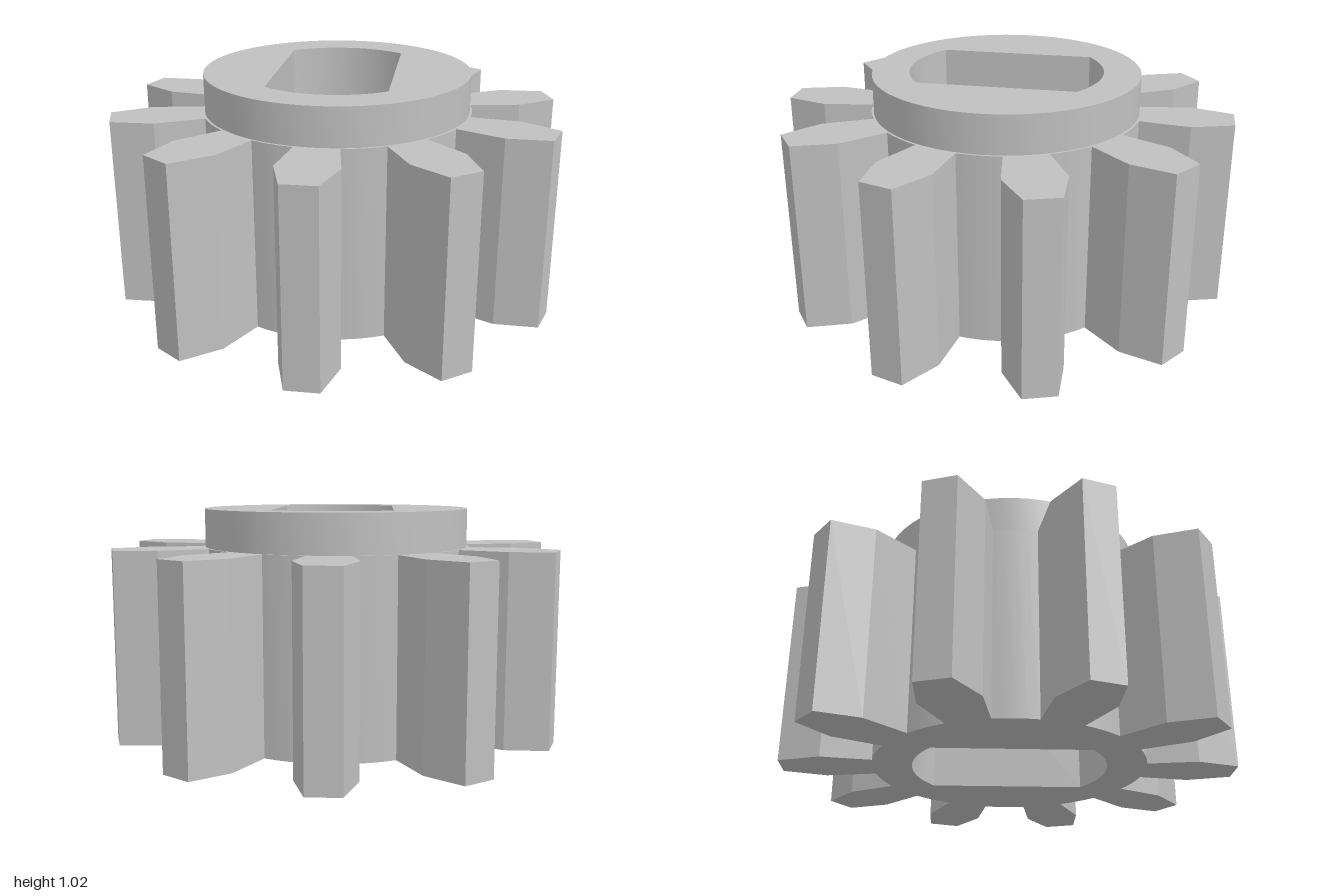
import * as THREE from 'three';
import { toCreasedNormals } from 'three/addons/utils/BufferGeometryUtils.js';

const TEETH = 10, BODY_HEIGHT = 0.85, TOTAL_HEIGHT = 1.02;
const HUB_RADIUS = 0.592, ROOT_RADIUS = 0.602;

// Half of one tooth: distance from the axis, half width
const TOOTH = [[0.595, 0.094], [0.815, 0.128], [1, 0.073]];

// Round shaft hole with two flat sides
function shaftHole() {
  const r = 0.428, a = Math.acos(0.258 / r);
  const hole = new THREE.Path();
  hole.absarc(0, 0, r, a, Math.PI - a, false);
  hole.absarc(0, 0, r, Math.PI + a, 2 * Math.PI - a, false);
  hole.closePath();
  return hole;
}

// Teeth joined by short arcs along the root circle
function gearShape() {
  const profile = [
    ...TOOTH.map(([r, w]) => [r, -w]),
    ...TOOTH.slice().reverse(),
  ];
  const step = (2 * Math.PI) / TEETH;
  const edge = Math.atan2(TOOTH[0][1], TOOTH[0][0]);
  const points = [];
  for (let i = 0; i < TEETH; i++) {
    const a = Math.PI / 2 + i * step;
    const c = Math.cos(a), s = Math.sin(a);
    for (const [r, w] of profile) points.push(new THREE.Vector2(r * c - w * s, r * s + w * c));
    for (let j = 1; j < 4; j++) {
      const b = a + edge + ((step - 2 * edge) * j) / 4;
      points.push(new THREE.Vector2(ROOT_RADIUS * Math.cos(b), ROOT_RADIUS * Math.sin(b)));
    }
  }
  return new THREE.Shape(points);
}

// Extrude a bored outline upwards from a given height
function boredPart(name, shape, bottom, height, material) {
  shape.holes.push(shaftHole());
  const geometry = new THREE.ExtrudeGeometry(shape, { depth: height, bevelEnabled: false, curveSegments: 32 });
  geometry.rotateX(-Math.PI / 2);
  geometry.translate(0, bottom, 0);
  const mesh = new THREE.Mesh(toCreasedNormals(geometry, 0.3), material);
  mesh.name = name;
  return mesh;
}

export function createModel() {
  const grey = new THREE.MeshStandardMaterial({ color: 0xc0c0c0 });
  grey.name = 'grey';

  const group = new THREE.Group();
  group.name = 'pinionGear';

  // Toothed body
  group.add(boredPart('toothedBody', gearShape(), 0, BODY_HEIGHT, grey));

  // Raised round hub
  const hub = new THREE.Shape();
  hub.absarc(0, 0, HUB_RADIUS, 0, 2 * Math.PI, false);
  group.add(boredPart('hub', hub, BODY_HEIGHT, TOTAL_HEIGHT - BODY_HEIGHT, grey));

  return group;
}
